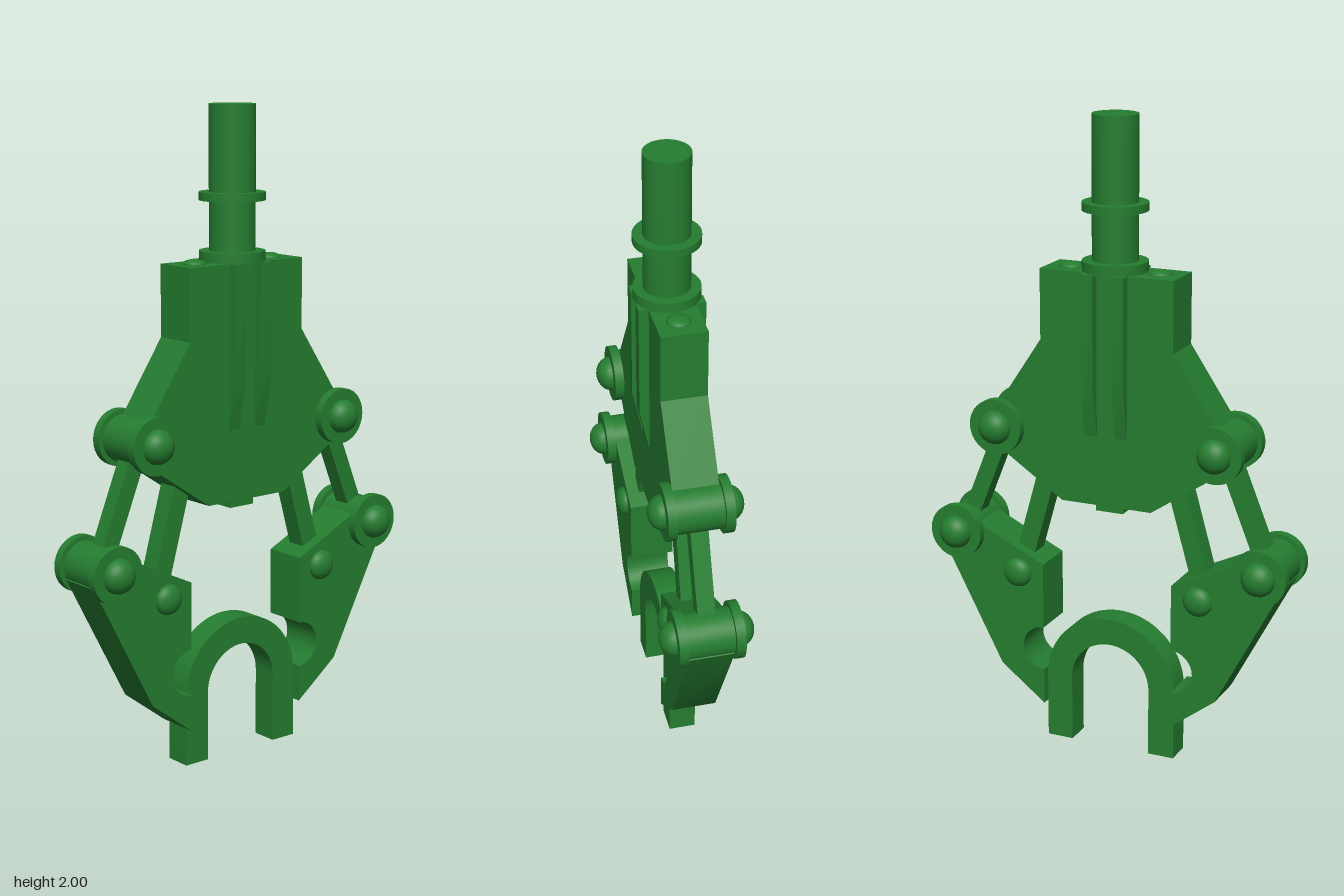
import * as THREE from 'three';
import { toCreasedNormals } from 'three/addons/utils/BufferGeometryUtils.js';

const green = new THREE.MeshStandardMaterial({ color: 0x257d30 });
green.name = 'green paint';

function add(parent, name, geometry, x = 0, y = 0, z = 0) {
  const mesh = new THREE.Mesh(geometry, green);
  mesh.name = name;
  mesh.position.set(x, y, z);
  parent.add(mesh);
  return mesh;
}

const toShape = (points) => new THREE.Shape(points.map(([a, b]) => new THREE.Vector2(a, b)));

// Plate extruded symmetrically; sideways plates have their outline in (z, y)
function plate(shape, width, sideways = true) {
  const g = new THREE.ExtrudeGeometry(shape, { depth: width, bevelEnabled: false, curveSegments: 24 });
  g.translate(0, 0, -width / 2);
  if (sideways) g.rotateY(-Math.PI / 2);
  return toCreasedNormals(g, 0.5);
}

// Cylinder lying along x
const axle = (radius, width) => new THREE.CylinderGeometry(radius, radius, width, 32).rotateZ(Math.PI / 2);

// Domed rivet head pointing along +x or -x
function dome(radius, height, side) {
  return new THREE.SphereGeometry(radius, 24, 8, 0, Math.PI * 2, 0, Math.PI / 2)
    .scale(1, height / radius, 1).rotateZ(-side * Math.PI / 2);
}

// Pivot: barrel, two end flanges and two domed heads
function pivot(parent, name, y, z) {
  const group = new THREE.Group();
  group.name = name;
  group.position.set(0, y, z);
  add(group, 'barrel', axle(0.072, 0.15));
  for (const side of [1, -1]) {
    add(group, 'flange', axle(0.087, 0.028), side * 0.086);
    add(group, 'pinHead', dome(0.053, 0.044, side), side * 0.1);
  }
  parent.add(group);
}

// Straight bar between two (z, y) points
function link(parent, name, [z0, y0], [z1, y1], width, thickness) {
  const length = Math.hypot(z1 - z0, y1 - y0);
  const bar = add(parent, name, new THREE.BoxGeometry(width, length, thickness), 0, (y0 + y1) / 2, (z0 + z1) / 2);
  bar.rotation.x = Math.atan2(z1 - z0, y1 - y0);
}

export function createModel() {
  const model = new THREE.Group();
  model.name = 'gripperClaw';

  // Shaft with two collars
  add(model, 'shaft', new THREE.CylinderGeometry(0.07, 0.07, 0.5, 40), 0, 1.75, 0);
  add(model, 'lowerCollar', new THREE.CylinderGeometry(0.1, 0.1, 0.034, 40), 0, 1.55, 0);
  add(model, 'upperCollar', new THREE.CylinderGeometry(0.1, 0.1, 0.025, 40), 0, 1.729, 0);

  // Body plate
  const half = [[0.217, 1.536], [0.217, 1.317], [0.365, 1.095], [0.365, 0.96], [0.148, 0.815]];
  const mirrored = half.map(([z, y]) => [-z, y]).reverse();
  add(model, 'body', plate(toShape([...half, ...mirrored]), 0.14));
  add(model, 'bottomNub', new THREE.BoxGeometry(0.09, 0.06, 0.09), 0, 0.818, 0);

  // Ribs running down both faces of the body
  const rib = toShape([[-0.1, 1.537], [-0.1, 1.18], [-0.069, 1.03], [0.069, 1.03], [0.1, 1.18], [0.1, 1.537]]);
  for (const z of [0.05, -0.05]) add(model, 'rib', plate(rib, 0.04, false), 0, 0, z);

  // Front and back arms
  for (const s of [1, -1]) {
    const arm = new THREE.Group();
    arm.name = s > 0 ? 'frontArm' : 'backArm';
    model.add(arm);

    const bolt = add(arm, 'topBolt', new THREE.SphereGeometry(0.036, 20, 12), 0, 1.536, s * 0.145);
    bolt.scale.y = 0.4;
    pivot(arm, 'upperPivot', 1.03, s * 0.362);
    pivot(arm, 'lowerPivot', 0.668, s * 0.508);
    link(arm, 'outerLink', [s * 0.362, 1.03], [s * 0.508, 0.668], 0.054, 0.054);
    link(arm, 'innerLink', [s * 0.2, 0.95], [s * 0.307, 0.57], 0.064, 0.06);

    // Jaw with a round notch on its inner edge
    const jaw = [[0.217, 0.12], [0.365, 0.233], [0.574, 0.632], [0.508, 0.73], [0.42, 0.687], [0.217, 0.59]];
    for (let i = 0; i <= 16; i++) {
      const a = Math.PI / 2 - (i / 16) * Math.PI;
      jaw.push([0.217 + 0.072 * Math.cos(a), 0.307 + 0.072 * Math.sin(a)]);
    }
    add(arm, 'jaw', plate(toShape(jaw.map(([z, y]) => [s * z, y])), 0.14));
    for (const side of [1, -1]) add(arm, 'jawRivet', dome(0.047, 0.03, side), side * 0.07, 0.553, s * 0.305);
  }

  // Arch held between the jaws
  const arch = new THREE.Shape();
  arch.moveTo(0.217, 0);
  arch.lineTo(0.217, 0.215);
  arch.absarc(0, 0.215, 0.217, 0, Math.PI, false);
  arch.lineTo(-0.217, 0);
  arch.lineTo(-0.132, 0);
  arch.lineTo(-0.132, 0.215);
  arch.absarc(0, 0.215, 0.132, Math.PI, 0, true);
  arch.lineTo(0.132, 0);
  add(model, 'arch', plate(arch, 0.084));

  return model;
}
